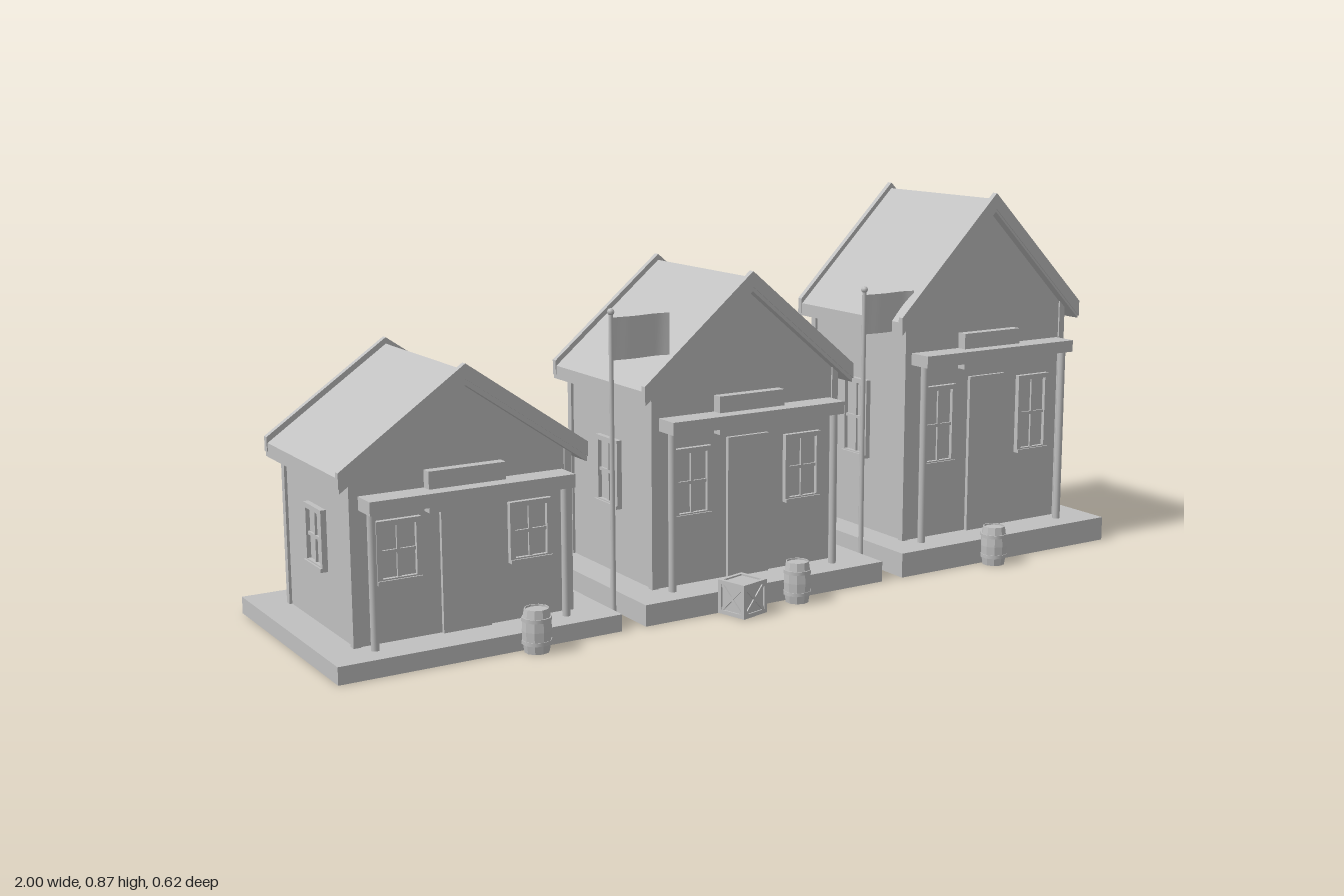
import * as THREE from 'three';

const grey = new THREE.MeshStandardMaterial({ color: 0xc0c0c0 });
grey.name = 'plainGrey';
const greySheet = new THREE.MeshStandardMaterial({ color: 0xc0c0c0, side: THREE.DoubleSide });
greySheet.name = 'plainGreySheet';

function add(parent, name, geometry, x = 0, y = 0, z = 0, material = grey) {
  const mesh = new THREE.Mesh(geometry, material);
  mesh.name = name;
  mesh.position.set(x, y, z);
  parent.add(mesh);
  return mesh;
}

const box = (parent, name, w, h, d, x, y, z) =>
  add(parent, name, new THREE.BoxGeometry(w, h, d), x, y, z);

function group(parent, name, x = 0, y = 0, z = 0) {
  const g = new THREE.Group();
  g.name = name;
  g.position.set(x, y, z);
  parent.add(g);
  return g;
}

// Outline in x and y, extruded from z0 to z1
function prism(parent, name, points, z0, z1) {
  const shape = new THREE.Shape(points.map(([x, y]) => new THREE.Vector2(x, y)));
  const geometry = new THREE.ExtrudeGeometry(shape, { depth: z1 - z0, bevelEnabled: false });
  return add(parent, name, geometry, 0, 0, z0);
}

// Inverted V of a given vertical thickness
function chevron(parent, name, halfWidth, peak, slope, thick, z0, z1) {
  const eave = peak - slope * halfWidth;
  return prism(parent, name, [
    [-halfWidth, eave - thick], [0, peak - thick], [halfWidth, eave - thick],
    [halfWidth, eave], [0, peak], [-halfWidth, eave],
  ], z0, z1);
}

// Window facing +z: pane, frame, glazing bars and sill
function windowUnit(parent, w, h, x, y, z, turn = 0) {
  const g = group(parent, 'window', x, y, z);
  g.rotation.y = turn;
  const f = 0.011;
  box(g, 'pane', w, h, 0.004, 0, 0, 0.001);
  for (const s of [-1, 1]) {
    box(g, 'frameSide', f, h, 0.012, s * (w - f) / 2, 0, 0.006);
    box(g, 'frameRail', w - 2 * f, f, 0.012, 0, s * (h - f) / 2, 0.006);
  }
  box(g, 'verticalBar', 0.007, h - 2 * f, 0.007, 0, 0, 0.0045);
  box(g, 'horizontalBar', w - 2 * f, 0.007, 0.007, 0, 0, 0.0045);
  box(g, 'sill', w, 0.008, 0.016, 0, -h / 2 + 0.004, 0.008);
}

const WALL = 0.24, FRONT = 0.146, BACK = -0.22, MID = -0.037;

function house(parent, o) {
  const g = group(parent, o.name, o.x);
  const { base, peak, slope, awning, winLow, winHigh } = o;

  box(g, 'base', 0.628, base, 0.552, 0, base / 2, -0.039);

  // Gabled walls and corner boards
  const ridge = peak - 0.03;
  const eave = ridge - slope * WALL;
  prism(g, 'walls', [[-WALL, base], [WALL, base], [WALL, eave], [0, ridge], [-WALL, eave]], BACK, FRONT);
  for (const sx of [-1, 1]) {
    for (const z of [FRONT - 0.004, BACK + 0.004]) {
      box(g, 'cornerBoard', 0.016, eave - base, 0.016, sx * 0.238, (eave + base) / 2, z);
    }
  }

  // Roof and raised gable trim
  chevron(g, 'roof', 0.272, peak - 0.014, slope, 0.03, -0.24, 0.169);
  const trim = 0.026 * Math.hypot(1, slope);
  chevron(g, 'frontTrim', 0.274, peak, slope, trim, 0.157, 0.171);
  chevron(g, 'backTrim', 0.274, peak, slope, trim, -0.242, -0.228);

  // Porch awning, posts, sign board and door
  box(g, 'awning', 0.45, 0.028, 0.062, 0, awning - 0.014, 0.174);
  const postHeight = awning - 0.028 - base;
  for (const sx of [-1, 1]) {
    add(g, 'porchPost', new THREE.CylinderGeometry(0.009, 0.009, postHeight, 8),
      sx * 0.213, base + postHeight / 2, 0.18);
  }
  box(g, 'signBoard', 0.17, 0.085, 0.026, 0, awning - 0.006, 0.157);
  box(g, 'door', 0.107, o.door - base, 0.01, 0, (o.door + base) / 2, FRONT + 0.004);

  // Two windows front and back, one on each side
  const h = winHigh - winLow, y = (winHigh + winLow) / 2;
  for (const sx of [-1, 1]) {
    windowUnit(g, 0.096, h, sx * 0.146, y, FRONT);
    windowUnit(g, 0.096, h, sx * 0.146, y, BACK, Math.PI);
    windowUnit(g, 0.096, h, sx * WALL, y, MID, sx * Math.PI / 2);
  }
}

function barrel(parent, x, z) {
  const g = group(parent, 'barrel', x, 0, z);
  const profile = [[0, 0], [0.026, 0], [0.03, 0.025], [0.031, 0.046], [0.03, 0.067], [0.026, 0.092], [0.024, 0.092], [0.024, 0.088], [0, 0.088]];
  const body = new THREE.LatheGeometry(profile.map(([r, y]) => new THREE.Vector2(r, y)), 10).toNonIndexed();
  body.computeVertexNormals();
  add(g, 'staves', body);
  for (const y of [0.022, 0.07]) {
    add(g, 'hoop', new THREE.CylinderGeometry(0.0315, 0.0315, 0.008, 10), 0, y, 0);
  }
}

function crate(parent, x, z) {
  const s = 0.068, e = 0.037;
  const g = group(parent, 'crate', x, 0.038, z);
  g.rotation.y = 0.26;
  box(g, 'crateBox', s, s, s, 0, 0, 0);
  // Edge battens along all three axes
  for (const a of [-1, 1]) for (const b of [-1, 1]) {
    const p = e - 0.004;
    box(g, 'batten', 0.009, 0.075, 0.009, a * p, 0, b * p);
    box(g, 'batten', 0.075, 0.009, 0.009, 0, a * p, b * p);
    box(g, 'batten', 0.009, 0.009, 0.075, a * p, b * p, 0);
  }
  // Crossed braces on the four sides
  for (let i = 0; i < 4; i++) {
    const side = group(g, 'crateSide');
    side.rotation.y = i * Math.PI / 2;
    for (const a of [-1, 1]) {
      box(side, 'brace', 0.086, 0.007, 0.004, 0, 0, 0.035).rotation.z = a * Math.PI / 4;
    }
  }
}

function flag(parent, x, z) {
  const g = group(parent, 'flagpole', x, 0, z);
  add(g, 'pole', new THREE.CylinderGeometry(0.005, 0.006, 0.656, 8), 0, 0.328, 0);
  add(g, 'finial', new THREE.SphereGeometry(0.008, 8, 6), 0, 0.66, 0);
  // Gently waving cloth
  const cloth = new THREE.PlaneGeometry(0.14, 0.091, 12, 1);
  const p = cloth.attributes.position;
  for (let i = 0; i < p.count; i++) {
    const u = p.getX(i) / 0.14 + 0.5;
    p.setZ(i, 0.007 * Math.sin(u * Math.PI * 2) * u);
  }
  cloth.computeVertexNormals();
  add(g, 'cloth', cloth, 0.074, 0.602, 0, greySheet);
}

export function createModel() {
  const model = new THREE.Group();
  model.name = 'houseRow';

  house(model, { name: 'smallHouse', x: -0.686, base: 0.037, peak: 0.589, slope: 0.69, awning: 0.343, door: 0.294, winLow: 0.16, winHigh: 0.289 });
  house(model, { name: 'mediumHouse', x: 0, base: 0.047, peak: 0.728, slope: 0.83, awning: 0.424, door: 0.364, winLow: 0.198, winHigh: 0.353 });
  house(model, { name: 'tallHouse', x: 0.686, base: 0.057, peak: 0.867, slope: 1.0, awning: 0.504, door: 0.433, winLow: 0.231, winHigh: 0.421 });

  for (const x of [-0.582, 0.062, 0.63]) barrel(model, x, 0.257);
  crate(model, -0.087, 0.264);
  for (const x of [-0.332, 0.332]) flag(model, x, 0.131);

  return model;
}
